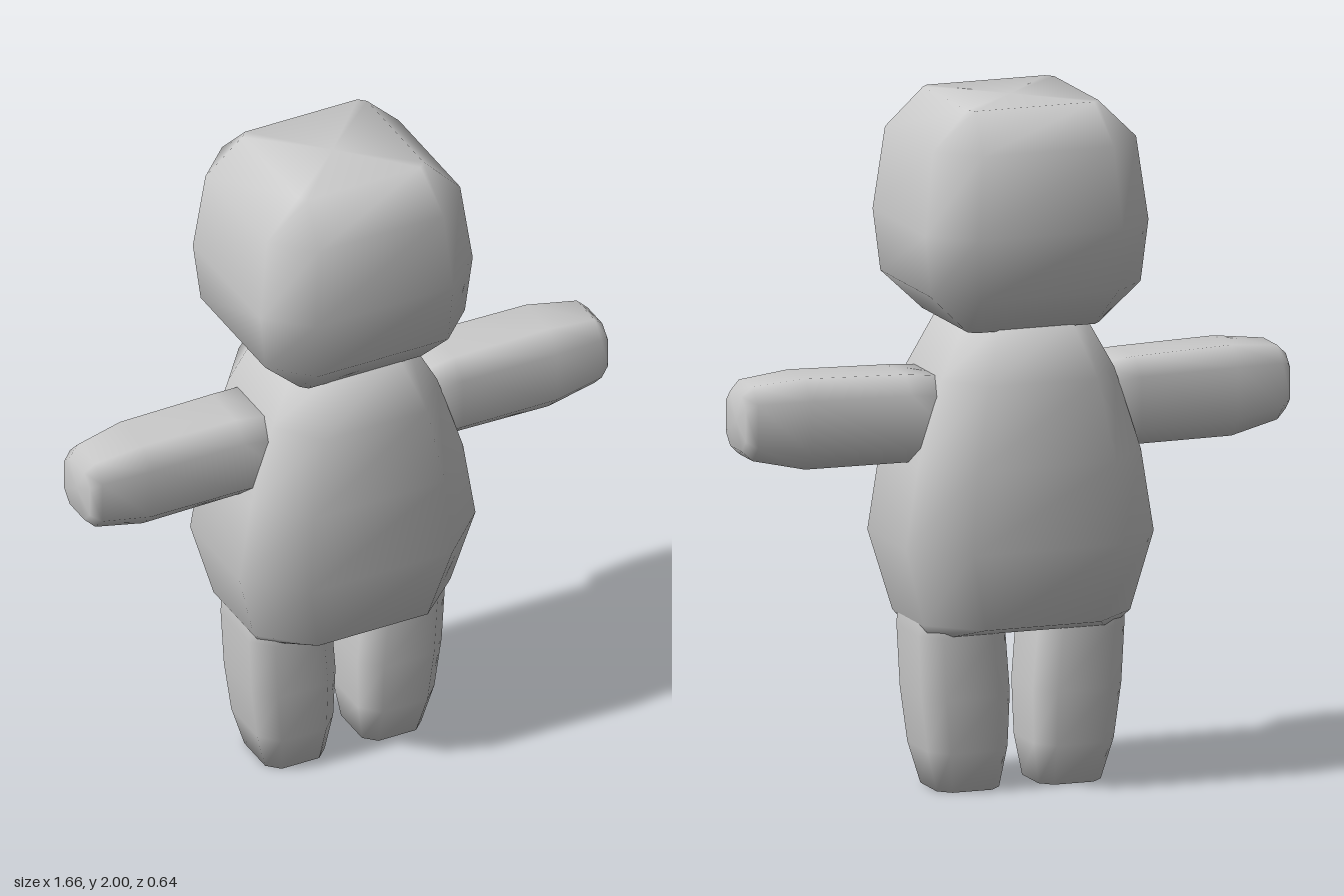
import * as THREE from 'three';

// Smooth loft along y through chamfered rectangles, closed at both ends.
// Section: [y, centreX, centreZ, halfX, halfZ, chamferX, chamferZ]
function loft(sections) {
  const pos = [], index = [], n = 8;
  for (const [y, cx, cz, hx, hz, kx, kz] of sections) {
    const a = hx - kx, b = hz - kz;
    const ring = [[hx, -b], [hx, b], [a, hz], [-a, hz], [-hx, b], [-hx, -b], [-a, -hz], [a, -hz]];
    for (const [x, z] of ring) pos.push(cx + x, y, cz + z);
  }
  const last = sections.length - 1;
  for (let r = 0; r < last; r++) {
    for (let i = 0; i < n; i++) {
      const a = r * n + i, b = r * n + (i + 1) % n;
      index.push(a, a + n, b, b, a + n, b + n);
    }
  }
  // end caps
  const base = pos.length / 3;
  for (const s of [sections[0], sections[last]]) pos.push(s[1], s[0], s[2]);
  for (let i = 0; i < n; i++) {
    const j = (i + 1) % n;
    index.push(base, i, j, base + 1, last * n + j, last * n + i);
  }
  const g = new THREE.BufferGeometry();
  g.setAttribute('position', new THREE.Float32BufferAttribute(pos, 3));
  g.setIndex(index);
  g.computeVertexNormals();
  return g;
}

export function createModel() {
  const model = new THREE.Group();
  model.name = 'figure';
  const grey = new THREE.MeshStandardMaterial({ color: 0xcccccc });
  grey.name = 'plain grey';

  const add = (name, geometry) => {
    const mesh = new THREE.Mesh(geometry, grey);
    mesh.name = name;
    model.add(mesh);
    return mesh;
  };

  // boxy rounded head
  add('head', loft([
    [1.355, 0, 0, 0.2, 0.2, 0.02, 0.02],
    [1.47, 0, 0, 0.32, 0.31, 0.11, 0.11],
    [1.65, 0, 0, 0.34, 0.32, 0.12, 0.11],
    [1.89, 0, 0, 0.31, 0.3, 0.11, 0.11],
    [2.0, 0, 0, 0.2, 0.195, 0.02, 0.02],
  ]));

  // pear-shaped torso
  add('torso', loft([
    [0.465, 0, 0, 0.29, 0.15, 0.06, 0.05],
    [0.5, 0, -0.005, 0.315, 0.255, 0.14, 0.13],
    [0.73, 0, 0, 0.378, 0.303, 0.15, 0.15],
    [0.97, 0, 0, 0.34, 0.29, 0.13, 0.14],
    [1.21, 0, 0, 0.265, 0.265, 0.1, 0.13],
    [1.37, 0, 0, 0.18, 0.2, 0.07, 0.09],
  ]));

  for (const s of [1, -1]) {
    const side = s > 0 ? 'left' : 'right';

    // leg, tapering to a blunt foot
    add(side + 'Leg', loft([
      [0.0, s * 0.155, 0, 0.095, 0.1, 0.035, 0.035],
      [0.12, s * 0.162, 0, 0.122, 0.135, 0.05, 0.055],
      [0.28, s * 0.17, 0, 0.135, 0.145, 0.055, 0.06],
      [0.46, s * 0.182, 0, 0.132, 0.148, 0.055, 0.06],
      [0.62, s * 0.19, 0, 0.12, 0.14, 0.055, 0.06],
    ]));

    // arm, lofted upright and then turned to point sideways
    const arm = loft([
      [0.2, -s * 1.09, 0, 0.12, 0.15, 0.05, 0.06],
      [0.35, -s * 1.095, 0, 0.128, 0.13, 0.05, 0.055],
      [0.65, -s * 1.098, 0.01, 0.132, 0.125, 0.055, 0.055],
      [0.8, -s * 1.105, 0.02, 0.108, 0.1, 0.045, 0.045],
      [0.83, -s * 1.105, 0.02, 0.08, 0.08, 0.035, 0.035],
    ]);
    arm.rotateZ(-s * Math.PI / 2);
    add(side + 'Arm', arm);
  }
  return model;
}
